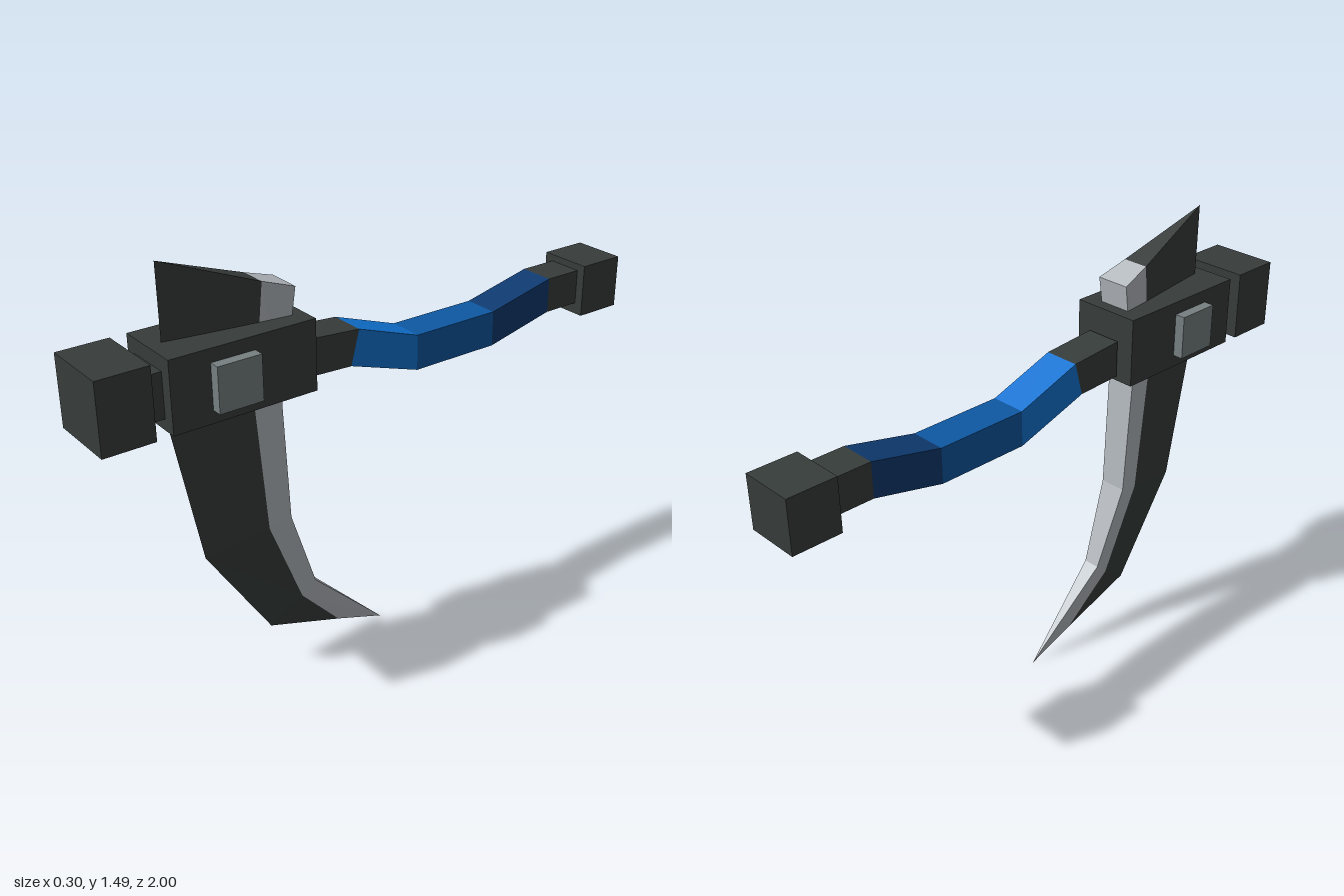
import * as THREE from 'three';

const mat = (name, color) => {
  const m = new THREE.MeshStandardMaterial({ color });
  m.name = name;
  return m;
};

// Skins a list of equal-length rings, counter-clockwise seen from the first ring's outside; capped and flat shaded.
function loft(rings) {
  const pos = [];
  const tri = (...pts) => pts.forEach((p) => pos.push(...p));
  const n = rings[0].length;
  for (let r = 0; r < rings.length - 1; r++) {
    const a = rings[r], b = rings[r + 1];
    for (let i = 0; i < n; i++) {
      const j = (i + 1) % n;
      tri(a[i], b[i], b[j]);
      tri(a[i], b[j], a[j]);
    }
  }
  const first = rings[0], last = rings[rings.length - 1];
  for (let i = 1; i < n - 1; i++) {
    tri(first[0], first[i], first[i + 1]);
    tri(last[0], last[i + 1], last[i]);
  }
  const g = new THREE.BufferGeometry();
  g.setAttribute('position', new THREE.Float32BufferAttribute(pos, 3));
  g.computeVertexNormals();
  return g;
}

export function createModel() {
  const model = new THREE.Group();
  model.name = 'warPick';
  const dark = mat('darkIron', 0x373d3b);
  const steel = mat('paleSteel', 0xb6bbc0);
  const grey = mat('greyMetal', 0x778081);
  const blueBright = mat('brightBlue', 0x1174d4);
  const blueMid = mat('midBlue', 0x0e58a2);
  const blueDeep = mat('deepBlue', 0x0e3a70);

  const add = (name, geometry, material) => {
    const m = new THREE.Mesh(geometry, material);
    m.name = name;
    model.add(m);
    return m;
  };
  // Box given by half width and its y and z ranges
  const block = (name, hw, y0, y1, z0, z1, material) =>
    add(name, new THREE.BoxGeometry(hw * 2, y1 - y0, z1 - z0), material)
      .position.set(0, (y0 + y1) / 2, (z0 + z1) / 2);

  // Head
  block('hammerFace', 0.117, 1.018, 1.248, 0.833, 1, dark);
  block('hammerNeck', 0.075, 1.055, 1.2, 0.77, 0.84, dark);
  block('headBlock', 0.117, 1.018, 1.248, 0.297, 0.781, dark);
  for (const [side, s] of [['left', 1], ['right', -1]]) {
    add(side + 'Plate', new THREE.BoxGeometry(0.04, 0.146, 0.146), grey)
      .position.set(s * 0.132, 1.132, 0.578);
  }

  // Handle: stations of [bottom z, bottom y, top z, top y]
  const hw = 0.061;
  const stations = [
    [0.29, 1.037, 0.29, 1.16],
    [0.13, 1.03, 0.1, 1.145],
    [-0.13, 0.945, -0.13, 1.065],
    [-0.45, 0.945, -0.45, 1.065],
    [-0.7, 1.003, -0.7, 1.122],
    [-0.84, 1.003, -0.84, 1.122],
  ].map(([zb, yb, zt, yt]) => [[-hw, yb, zb], [hw, yb, zb], [hw, yt, zt], [-hw, yt, zt]]);
  const grips = [
    ['handleSocket', dark], ['frontGrip', blueBright], ['middleGrip', blueMid],
    ['rearGrip', blueDeep], ['pommelNeck', dark],
  ];
  grips.forEach(([name, material], i) => add(name, loft([stations[i], stations[i + 1]]), material));
  block('pommel', 0.092, 0.965, 1.145, -1, -0.834, dark);

  // Blade: front edge, bevel line and back as [z, y], then half widths at bevel and back
  const blade = [
    { f: [0.738, 1.486], m: [0.43, 1.37], b: [0.325, 1.335], wm: 0.045, wb: 0.058 },
    { f: [0.735, 0.98], m: [0.47, 0.98], b: [0.38, 0.97], wm: 0.042, wb: 0.052 },
    { f: [0.645, 0.505], m: [0.433, 0.55], b: [0.358, 0.57], wm: 0.036, wb: 0.047 },
    { f: [0.42, 0.155], m: [0.31, 0.24], b: [0.26, 0.285], wm: 0.023, wb: 0.029 },
    { f: [0.15, 0.065], m: [0.15, 0.065], b: [-0.03, 0], wm: 0, wb: 0 },
  ];
  const pt = (x, [z, y]) => [x, y, z];
  add('bladeBody', loft(blade.map(({ f, m, wm }) => [pt(0, f), pt(wm, m), pt(-wm, m)])), dark);
  add('bladeEdge', loft(blade.map(({ m, b, wm, wb }) =>
    [pt(wm, m), pt(wb, b), pt(-wb, b), pt(-wm, m)])), steel);

  return model;
}
